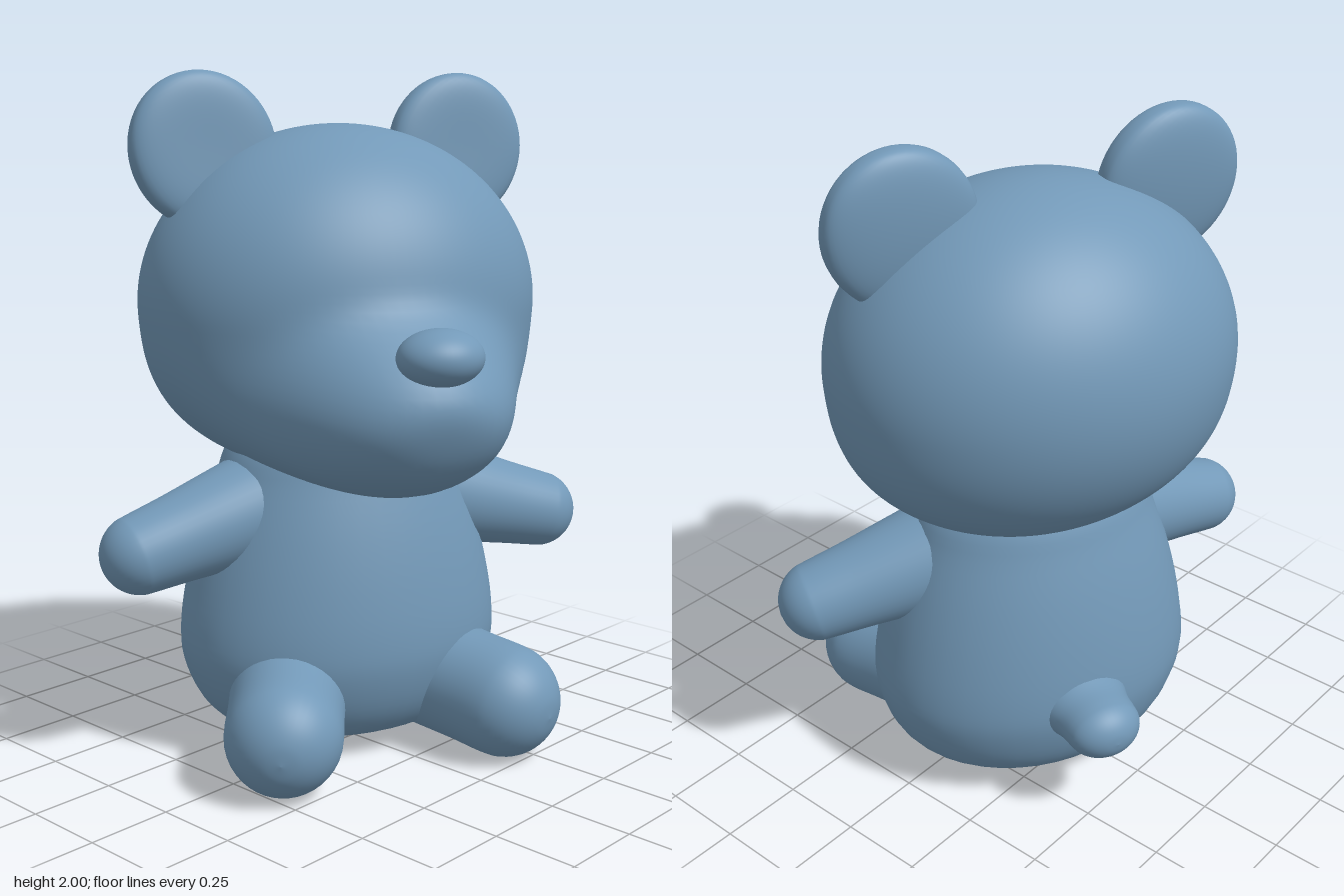
import * as THREE from 'three';
import { mergeVertices } from 'three/addons/utils/BufferGeometryUtils.js';

const V = (x, y, z) => new THREE.Vector3(x, y, z);
const plush = new THREE.MeshStandardMaterial({ color: 0x7399b8 });
plush.name = 'plush blue';

function part(name, geometry) {
  const mesh = new THREE.Mesh(geometry, plush);
  mesh.name = name;
  return mesh;
}

// Unit sphere whose vertices are moved by a rule, with seamless smooth normals
function blob(rule, w = 48, h = 32) {
  let geo = new THREE.SphereGeometry(1, w, h);
  const pos = geo.attributes.position;
  const v = V(0, 0, 0);
  for (let i = 0; i < pos.count; i++) {
    rule(v.fromBufferAttribute(pos, i));
    pos.setXYZ(i, v.x, v.y, v.z);
  }
  geo.deleteAttribute('uv');
  geo.deleteAttribute('normal');
  geo = mergeVertices(geo, 1e-5);
  geo.computeVertexNormals();
  return geo;
}

// Smooth lathe from a few [radius, height] points
function turned(points) {
  const curve = new THREE.SplineCurve(points.map(([r, y]) => new THREE.Vector2(r, y)));
  const profile = curve.getPoints(40);
  profile.forEach((p) => { p.x = Math.max(p.x, 0); });
  return new THREE.LatheGeometry(profile, 40);
}

// Round-ended limb from a to b, flaring into the body at a
function limb(name, a, b, flare, mid, end) {
  const axis = b.clone().sub(a);
  const len = axis.length();
  const points = [[flare, 0], [(flare + mid) / 2, len * 0.35], [mid, len * 0.7]];
  for (let i = 0; i <= 5; i++) {
    const t = (i / 5) * Math.PI / 2;
    points.push([end * Math.cos(t), len + end * Math.sin(t)]);
  }
  const mesh = part(name, turned(points));
  mesh.position.copy(a);
  mesh.quaternion.setFromUnitVectors(V(0, 1, 0), axis.normalize());
  return mesh;
}

export function createModel() {
  const model = new THREE.Group();
  model.name = 'seatedBear';
  const bear = new THREE.Group();
  bear.name = 'bear';
  bear.rotation.y = -0.4; // the whole figure sits turned to its right
  model.add(bear);

  // Pear-shaped torso, shallower than wide
  const torso = turned([[0, 0.035], [0.2, 0.04], [0.35, 0.07], [0.44, 0.15], [0.49, 0.27], [0.495, 0.38],
    [0.47, 0.53], [0.43, 0.68], [0.38, 0.82], [0.335, 0.93], [0.2, 1.1]]);
  torso.scale(1, 1, 0.77);
  torso.translate(0, 0, -0.11);
  bear.add(part('torso', torso));

  // Head with the muzzle swelling out of the lower face
  bear.add(part('headAndMuzzle', blob((v) => {
    v.set(v.x * 0.6, 1.335 + v.y * 0.515, -0.11 + v.z * 0.5);
    const dy = (v.y - 1.1) / (v.y > 1.1 ? 0.2 : 0.28);
    const d = Math.hypot(v.x / 0.33, dy);
    const front = THREE.MathUtils.smoothstep(v.z, -0.05, 0.2);
    const push = Math.exp(-(d ** 3.6)) * front;
    v.z += 0.27 * push;
    v.y -= 0.04 * push;
    // fuller cheeks and chin
    const low = THREE.MathUtils.smoothstep(1.3 - v.y, 0, 0.35);
    v.x *= 1 + low * (0.06 + 0.05 * front);
    v.y -= 0.045 * low * front;
  }, 96, 72)));

  const nose = part('nose', blob((v) => v.multiply(V(0.12, 0.078, 0.105))));
  nose.position.set(0, 1.25, 0.56);
  bear.add(nose);

  const tail = limb('tail', V(0, 0.34, -0.38), V(0, 0.33, -0.565), 0.13, 0.095, 0.09);
  tail.scale.x = 1.25;
  bear.add(tail);

  for (const [side, s] of [['left', 1], ['right', -1]]) {
    // Thick round ear, hollowed a little at the front
    const ear = part(side + 'Ear', blob((v) => {
      const hollow = v.z > 0 ? 0.02 * v.z ** 3 : 0;
      v.set(v.x * 0.215, v.y * 0.225, Math.sign(v.z) * Math.abs(v.z) ** 0.65 * 0.072 - hollow);
    }));
    ear.position.set(s * 0.4 - 0.01, 1.775, -0.12);
    ear.rotation.set(-0.06, 0, s * -0.5);
    bear.add(ear);

    bear.add(limb(side + 'Arm', V(s * 0.28, 0.735, -0.08), V(s * 0.65, 0.645, -0.03), 0.165, 0.13, 0.118));
    bear.add(limb(side + 'Leg', V(s * 0.2, 0.21, -0.02), V(s * 0.35, 0.17, 0.31), 0.175, 0.168, 0.168));
  }
  return model;
}
